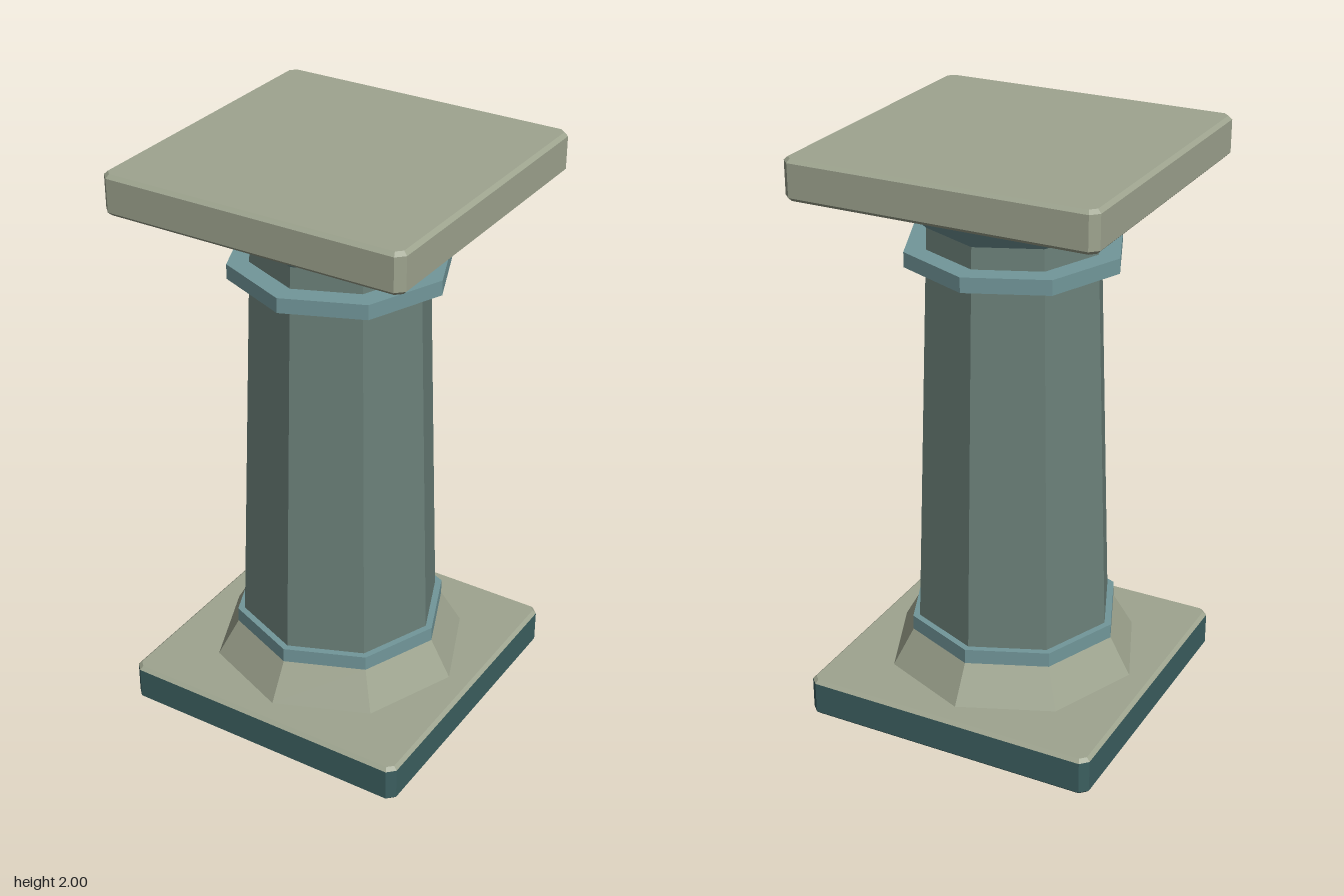
import * as THREE from 'three';

const paint = (color) => new THREE.MeshStandardMaterial({ color, flatShading: true });
const stone = paint(0x9ea48f);
const shaftStone = paint(0x6b8079);
const trim = paint(0x72979a);
const dark = paint(0x3c5f60);

// Outline of a square with cut corners, anticlockwise seen from above
function outline(half, cut, y) {
  const points = [];
  const corners = [[1, 1], [1, -1], [-1, -1], [-1, 1]];
  corners.forEach(([sx, sz], i) => {
    const a = [sx * (half - cut), y, sz * half];
    const b = [sx * half, y, sz * (half - cut)];
    points.push(...(i % 2 ? [b, a] : [a, b]));
  });
  return points;
}

// Skin stacked outlines, bottom to top, closing the chosen ends
function slabGeometry(levels, capBottom, capTop) {
  const rings = levels.map((l) => outline(...l));
  const pos = [];
  const n = rings[0].length;
  const tri = (...corners) => corners.forEach((p) => pos.push(...p));
  for (let r = 0; r < rings.length - 1; r++) {
    for (let i = 0; i < n; i++) {
      const j = (i + 1) % n;
      const [a, b, c, d] = [rings[r][i], rings[r][j], rings[r + 1][j], rings[r + 1][i]];
      tri(a, b, c);
      tri(a, c, d);
    }
  }
  const top = rings[rings.length - 1];
  for (let i = 1; i < n - 1; i++) {
    if (capBottom) tri(rings[0][0], rings[0][i + 1], rings[0][i]);
    if (capTop) tri(top[0], top[i], top[i + 1]);
  }
  const geometry = new THREE.BufferGeometry();
  geometry.setAttribute('position', new THREE.Float32BufferAttribute(pos, 3));
  geometry.computeVertexNormals();
  return geometry;
}

export function createModel() {
  const model = new THREE.Group();
  model.name = 'column';

  const add = (name, geometry, material) => {
    const mesh = new THREE.Mesh(geometry, material);
    mesh.name = name;
    model.add(mesh);
    return mesh;
  };

  // Eight-sided section between two heights
  const octagon = (name, y0, r0, y1, r1, material) => {
    const geometry = new THREE.CylinderGeometry(r1, r0, y1 - y0, 8);
    add(name, geometry, material).position.y = (y0 + y1) / 2;
  };

  // Bevelled slabs; the plinth has dark sides and a pale top
  const wide = 0.526, inset = 0.514, cutWide = 0.026, cutInset = 0.019;
  add('plinth', slabGeometry([[inset, cutInset, 0], [wide, cutWide, 0.012], [wide, cutWide, 0.125]], true, false), dark);
  add('plinthTop', slabGeometry([[wide, cutWide, 0.125], [inset, cutInset, 0.137]], false, true), stone);
  add('topSlab', slabGeometry([
    [inset, cutInset, 1.866], [wide, cutWide, 1.878], [wide, cutWide, 1.988], [inset, cutInset, 2],
  ], true, true), stone);

  // Base, shaft and capital
  octagon('baseFlare', 0.137, 0.442, 0.268, 0.368, stone);
  octagon('lowerCollar', 0.268, 0.368, 0.32, 0.368, trim);
  octagon('shaft', 0.3, 0.345, 1.73, 0.292, shaftStone);
  octagon('upperCollar', 1.605, 0.368, 1.656, 0.368, trim);
  octagon('capital', 1.728, 0.292, 1.845, 0.415, trim);

  return model;
}
